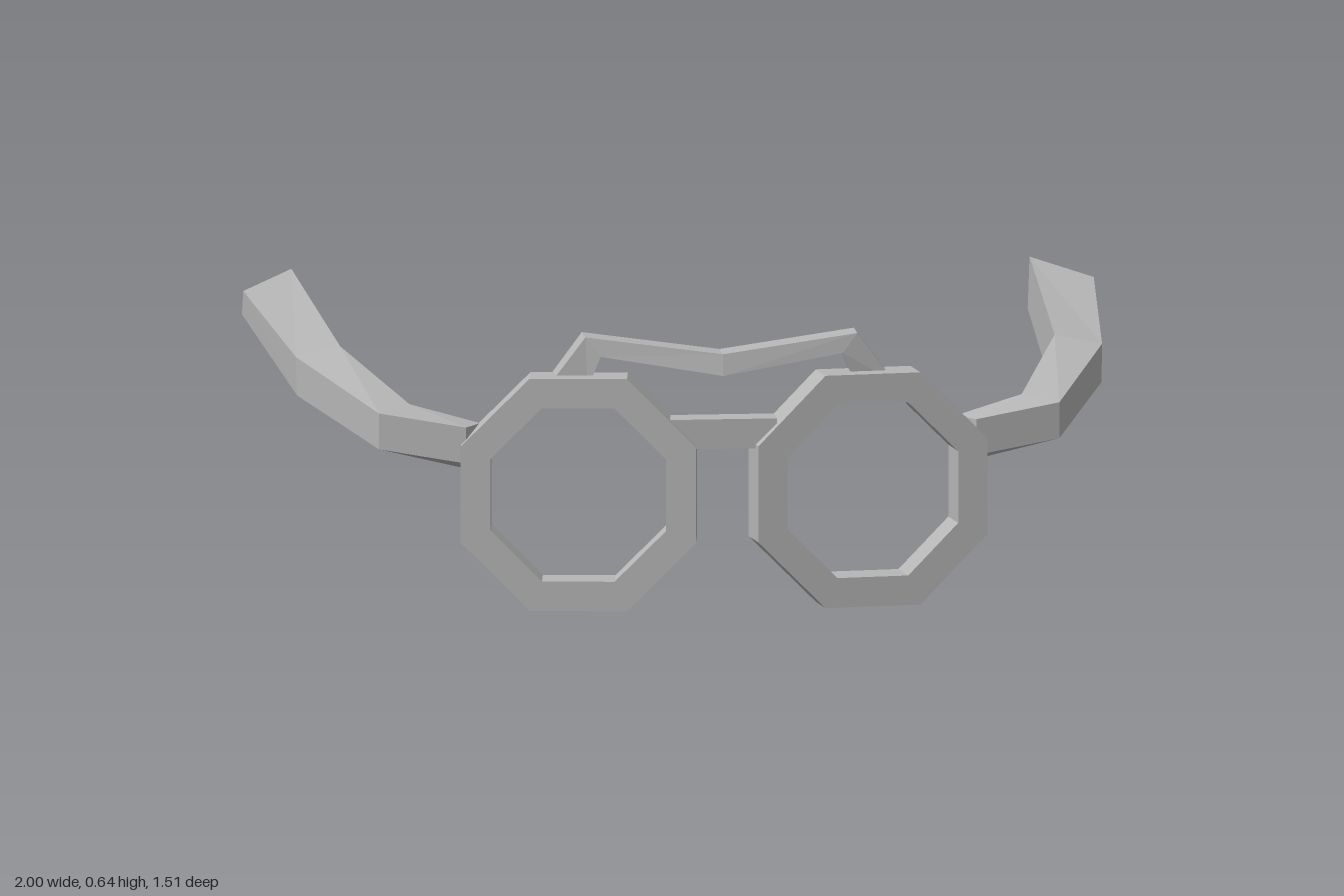
import * as THREE from 'three';

const grey = new THREE.MeshStandardMaterial({ color: 0xb6b6b6, flatShading: true });
grey.name = 'grey frame';

// Solid skin through four-cornered sections; flip mirrors it to the other side
function loft(name, sections, flip = false) {
  const pos = [];
  const quad = (a, b, c, d) => {
    for (const p of flip ? [a, c, b, a, d, c] : [a, b, c, a, c, d]) {
      pos.push(flip ? -p[0] : p[0], p[1], p[2]);
    }
  };
  for (let s = 0; s < sections.length - 1; s++) {
    const A = sections[s], B = sections[s + 1];
    for (let i = 0; i < 4; i++) {
      const j = (i + 1) % 4;
      quad(A[i], B[i], B[j], A[j]);
    }
  }
  quad(...sections[0]);
  quad(...[...sections[sections.length - 1]].reverse());
  const geo = new THREE.BufferGeometry();
  geo.setAttribute('position', new THREE.Float32BufferAttribute(pos, 3));
  geo.computeVertexNormals();
  const mesh = new THREE.Mesh(geo, grey);
  mesh.name = name;
  return mesh;
}

// Flat-topped octagon points for a given half width
function octagon(half) {
  const r = half / Math.cos(Math.PI / 8);
  return Array.from({ length: 8 }, (_, i) => {
    const a = (i + 0.5) * Math.PI / 4;
    return new THREE.Vector2(Math.cos(a) * r, Math.sin(a) * r);
  });
}

function rim(name, x, yaw) {
  const shape = new THREE.Shape(octagon(0.275));
  shape.holes.push(new THREE.Path(octagon(0.205)));
  const geo = new THREE.ExtrudeGeometry(shape, { depth: 0.1, bevelEnabled: false });
  geo.translate(0, 0, -0.1);
  const mesh = new THREE.Mesh(geo, grey);
  mesh.position.set(x, 0.275, 0.717);
  mesh.rotation.y = yaw;
  mesh.name = name;
  return mesh;
}

export function createModel() {
  const group = new THREE.Group();
  group.name = 'glasses';

  // Rims, turned slightly outwards
  group.add(rim('leftRim', 0.351, 0.127), rim('rightRim', -0.342, -0.127));

  // Nose bridge
  const bridge = new THREE.Mesh(new THREE.BoxGeometry(0.25, 0.07, 0.075), grey);
  bridge.position.set(0, 0.415, 0.686);
  bridge.name = 'bridge';
  group.add(bridge);

  // Brow bar: [top x, top y, bottom x, bottom y, back z, front z]
  const half = [
    [0.41, 0.52, 0.315, 0.52, 0.59, 0.66],
    [0.32, 0.64, 0.285, 0.595, 0.586, 0.667],
  ];
  const bar = [
    ...half.map(([a, b, c, d, e, f]) => [-a, b, -c, d, e, f]),
    [0, 0.6, 0, 0.55, 0.62, 0.7],
    ...[...half].reverse(),
  ];
  group.add(loft('browBar', bar.map(([tx, ty, bx, by, zb, zf]) => [
    [tx, ty, zf], [tx, ty, zb], [bx, by, zb], [bx, by, zf + 0.01],
  ])));

  // Temples, hinge to tip: outer top, inner top, inner bottom, outer bottom
  const temple = [
    [[0.6, 0.43, 0.66], [0.56, 0.43, 0.595], [0.56, 0.315, 0.595], [0.6, 0.345, 0.66]],
    [[0.8, 0.46, 0.617], [0.72, 0.468, 0.535], [0.72, 0.345, 0.53], [0.8, 0.375, 0.617]],
    [[0.948, 0.525, 0.165], [0.84, 0.543, 0.13], [0.838, 0.4, 0.13], [0.946, 0.435, 0.17]],
    [[1, 0.575, -0.515], [0.868, 0.597, -0.695], [0.87, 0.465, -0.755], [1, 0.515, -0.545]],
  ];
  group.add(loft('leftTemple', temple), loft('rightTemple', temple, true));

  return group;
}
